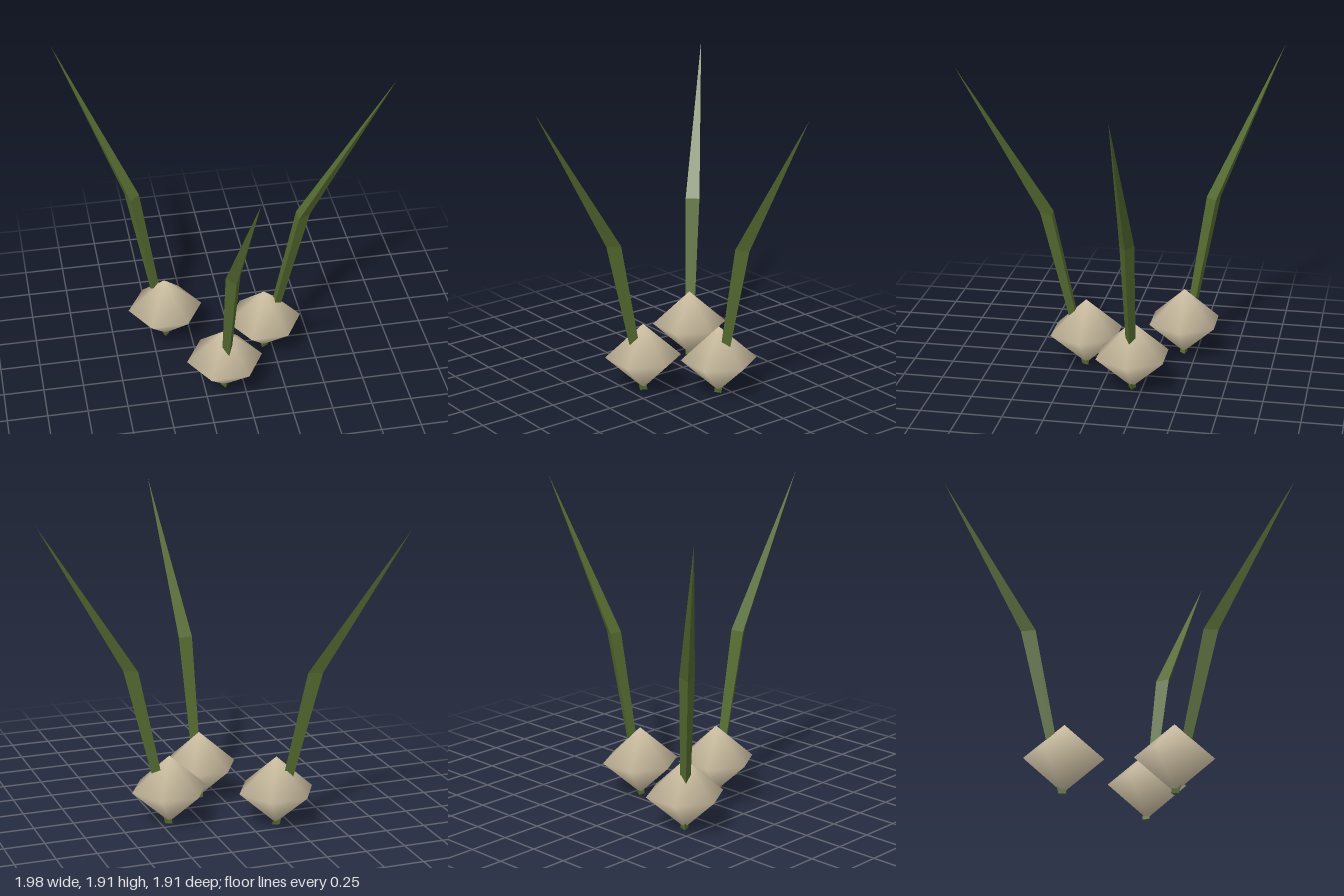
import * as THREE from 'three';

const bulbMaterial = new THREE.MeshStandardMaterial({ color: 0xd2c4a6 });
bulbMaterial.name = 'cream bulb';
const leafMaterial = new THREE.MeshStandardMaterial({ color: 0x556b2f });
leafMaterial.name = 'olive leaf';

// Three-sided leaf with its ridge on +z, bent outward halfway and ending in a point
function leafGeometry() {
  const rings = [
    { y: 0, lean: 0, radius: 0.027 },
    { y: 1, lean: 0.233, radius: 0.052 },
    { y: 1.91, lean: 0.795, radius: 0 },
  ];
  const geometry = new THREE.CylinderGeometry(0, 1, 2, 3, 2);
  const p = geometry.attributes.position;
  for (let i = 0; i < p.count; i++) {
    const ring = rings[Math.round(p.getY(i) + 1)];
    const x = p.getX(i), z = p.getZ(i);
    const length = Math.hypot(x, z) || 1;
    const scale = Math.hypot(x, z) > 1e-6 ? ring.radius / length : 0;
    p.setXYZ(i, x * scale, ring.y, z * scale + ring.lean);
  }
  const flat = geometry.toNonIndexed();
  flat.computeVertexNormals();
  return flat;
}

export function createModel() {
  const model = new THREE.Group();
  model.name = 'sproutingBulbs';

  // Smooth six-sided double cone
  const bulbGeometry = new THREE.SphereGeometry(0.2375, 6, 2);
  bulbGeometry.scale(1, 0.9, 1);
  const leafGeo = leafGeometry();

  const plants = [
    { name: 'frontPlant', x: -0.122, z: 0.16, yaw: 0.082 },
    { name: 'leftPlant', x: 0.195, z: -0.188, yaw: Math.PI / 2 },
    { name: 'backPlant', x: -0.41, z: -0.42, yaw: -2.316 },
  ];
  for (const { name, x, z, yaw } of plants) {
    const plant = new THREE.Group();
    plant.name = name;
    plant.position.set(x, 0, z);

    const bulb = new THREE.Mesh(bulbGeometry, bulbMaterial);
    bulb.name = 'bulb';
    bulb.position.y = 0.222;

    const leaf = new THREE.Mesh(leafGeo, leafMaterial);
    leaf.name = 'leaf';
    leaf.rotation.y = yaw;

    plant.add(bulb, leaf);
    model.add(plant);
  }
  return model;
}
